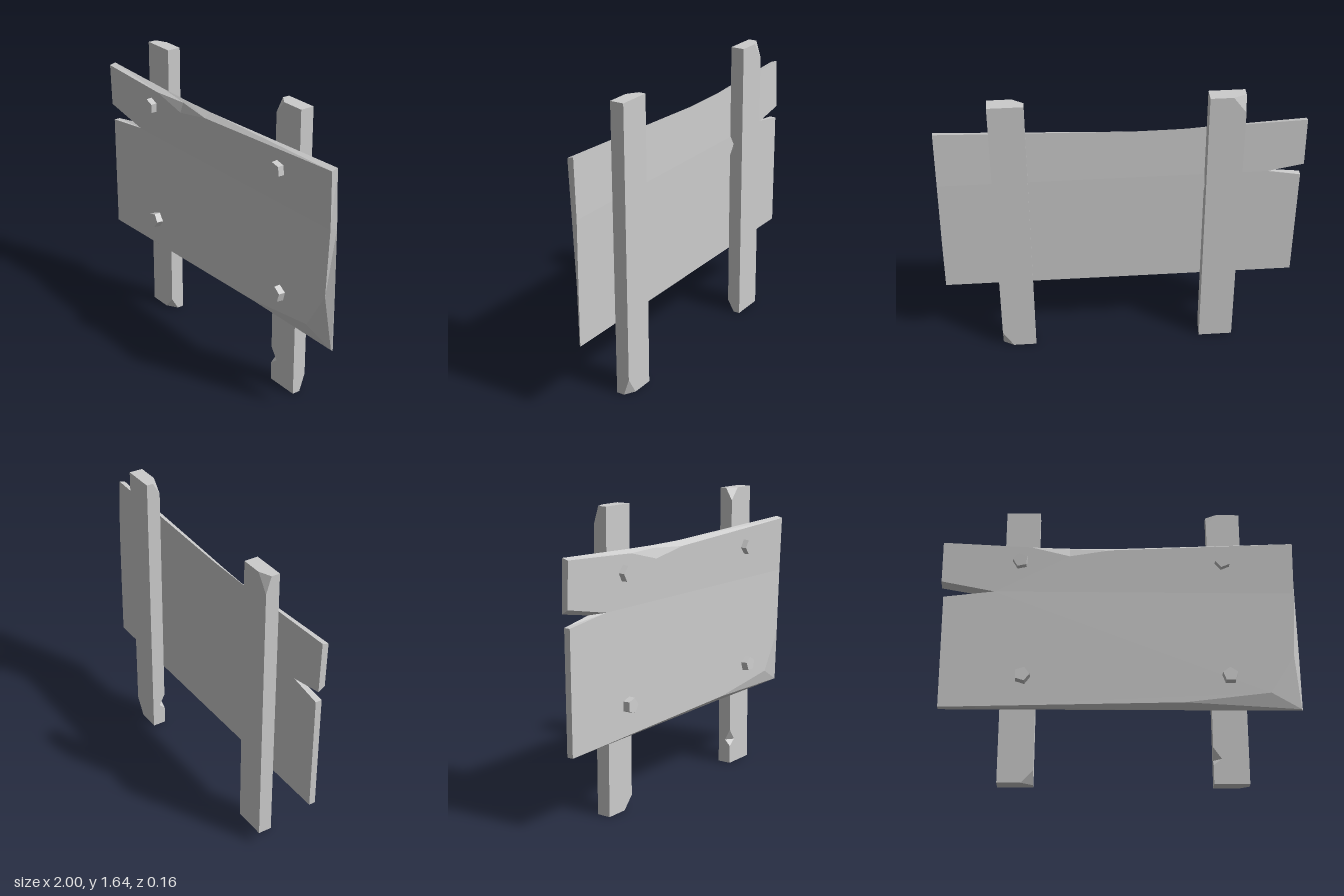
import * as THREE from 'three';

const material = new THREE.MeshStandardMaterial({ color: 0xcccccc, flatShading: true });

// Joins matching rings of points with walls, closes the two ends, skips zero-area triangles
function loft(rings, caps) {
  const positions = [];
  const tri = (a, b, c) => {
    const area = b.clone().sub(a).cross(c.clone().sub(a)).length();
    if (area > 1e-8) for (const p of [a, b, c]) positions.push(p.x, p.y, p.z);
  };
  const first = rings[0], last = rings[rings.length - 1], n = first.length;
  for (let i = 0; i < rings.length - 1; i++) {
    const f = rings[i], b = rings[i + 1];
    for (let j = 0; j < n; j++) {
      const k = (j + 1) % n;
      tri(f[j], b[j], b[k]);
      tri(f[j], b[k], f[k]);
    }
  }
  caps(first).forEach(([a, b, c]) => tri(first[a], first[b], first[c]));
  caps(last).forEach(([a, b, c]) => tri(last[a], last[c], last[b]));
  const geometry = new THREE.BufferGeometry();
  geometry.setAttribute('position', new THREE.Float32BufferAttribute(positions, 3));
  geometry.computeVertexNormals();
  return geometry;
}

// The plank leans slightly forward above this height
const BEND = 1.115;
const bend = (y) => Math.max(0, y - BEND) * 0.03;

function boardGeometry() {
  // Outline from the split tip, counter-clockwise: front x, y, back x, y, [dented edge x, y, z]
  const outline = [
    [-0.70, 1.115, -0.80, 1.113],
    [-0.985, 1.08, -0.985, 1.08],
    [-0.98, 0.415, -0.98, 0.415],
    [0.36, 0.45, 0.36, 0.418],
    [0.83, 0.51, 1.0, 0.42, [0.995, 0.425, 0.008]],
    [0.965, 0.73, 0.998, 0.73],
    [0.985, 1.115, 0.993, 1.115],
    [0.99, 1.43, 0.99, 1.44],
    [-0.05, 1.38, -0.05, 1.407],
    [-0.28, 1.34, -0.28, 1.408, [-0.28, 1.395, 0.015]],
    [-0.50, 1.395, -0.50, 1.413],
    [-1.0, 1.42, -1.0, 1.43],
    [-1.0, 1.175, -1.0, 1.15],
  ];
  const point = (x, y, z) => new THREE.Vector3(x, y, z + bend(y));
  const front = outline.map(([x, y]) => point(x, y, 0.036));
  const edge = outline.map(([x, y, , , dent]) => (dent ? point(...dent) : point(x, y, 0.036)));
  const back = outline.map(([, , x, y]) => point(x, y, 0));
  // Each face is filled in two parts, below and above the bend
  const halves = [[0, 1, 2, 3, 4, 5, 6], [0, 6, 7, 8, 9, 10, 11, 12]];
  const caps = (ring) => halves.flatMap((half) => {
    const contour = half.map((i) => new THREE.Vector2(ring[i].x, ring[i].y));
    return THREE.ShapeUtils.triangulateShape(contour, []).map((t) => t.map((i) => half[i]));
  });
  return loft([front, edge, back], caps);
}

// Square post; each level, from the top down, may cut one corner: [y, corner, cut in x, cut in z]
function postGeometry(x0, x1, levels) {
  const z0 = -0.079, z1 = 0;
  const corners = [[x1, z1], [x1, z0], [x0, z0], [x0, z1]];
  const rings = levels.map(([y, cut = -1, dx = 0, dz = 0]) => corners.flatMap(([x, z], i) => {
    const cx = i === cut ? (x === x1 ? -dx : dx) : 0;
    const cz = i === cut ? (z === z1 ? -dz : dz) : 0;
    const pair = [new THREE.Vector3(x + cx, y, z), new THREE.Vector3(x, y, z + cz)];
    return i % 2 ? pair.reverse() : pair;
  }));
  const fan = (ring) => ring.slice(2).map((_, i) => [0, i + 1, i + 2]);
  return loft(rings, fan);
}

export function createModel() {
  const group = new THREE.Group();
  const add = (name, geometry) => {
    const mesh = new THREE.Mesh(geometry, material);
    mesh.name = name;
    group.add(mesh);
    return mesh;
  };

  // Posts with chipped ends and a nick along one front edge
  const FRONT_LEFT = 0, BACK_LEFT = 1, BACK_RIGHT = 2, FRONT_RIGHT = 3;
  add('rightPost', postGeometry(-0.648, -0.455, [
    [1.645, BACK_RIGHT, 0.07, 0.03], [1.55],
    [1.12], [1.06, FRONT_LEFT, 0.04, 0.03], [1.0],
    [0.07], [0, FRONT_LEFT, 0.065, 0.04],
  ]));
  add('leftPost', postGeometry(0.505, 0.696, [
    [1.645, FRONT_RIGHT, 0.06, 0.04], [1.575],
    [0.205], [0.14, FRONT_RIGHT, 0.045, 0.035], [0.105],
    [0.1], [0, BACK_LEFT, 0.06, 0.034],
  ]));

  // Split and dented sign plank
  add('board', boardGeometry());

  // Five-sided bolt heads: x, y, direction of one corner in degrees
  const bolts = [[-0.557, 1.3, 175], [0.587, 1.305, 185], [-0.53, 0.595, 0], [0.608, 0.602, 92]];
  bolts.forEach(([x, y, angle], i) => {
    const head = new THREE.CylinderGeometry(0.043, 0.046, 0.05, 5);
    head.rotateX(Math.PI / 2).rotateZ(THREE.MathUtils.degToRad(angle + 90));
    const bolt = add('bolt' + (i + 1), head);
    bolt.position.set(x, y, 0.05);
    bolt.rotation.x = i < 2 ? 0.04 : -0.05;
  });

  return group;
}
